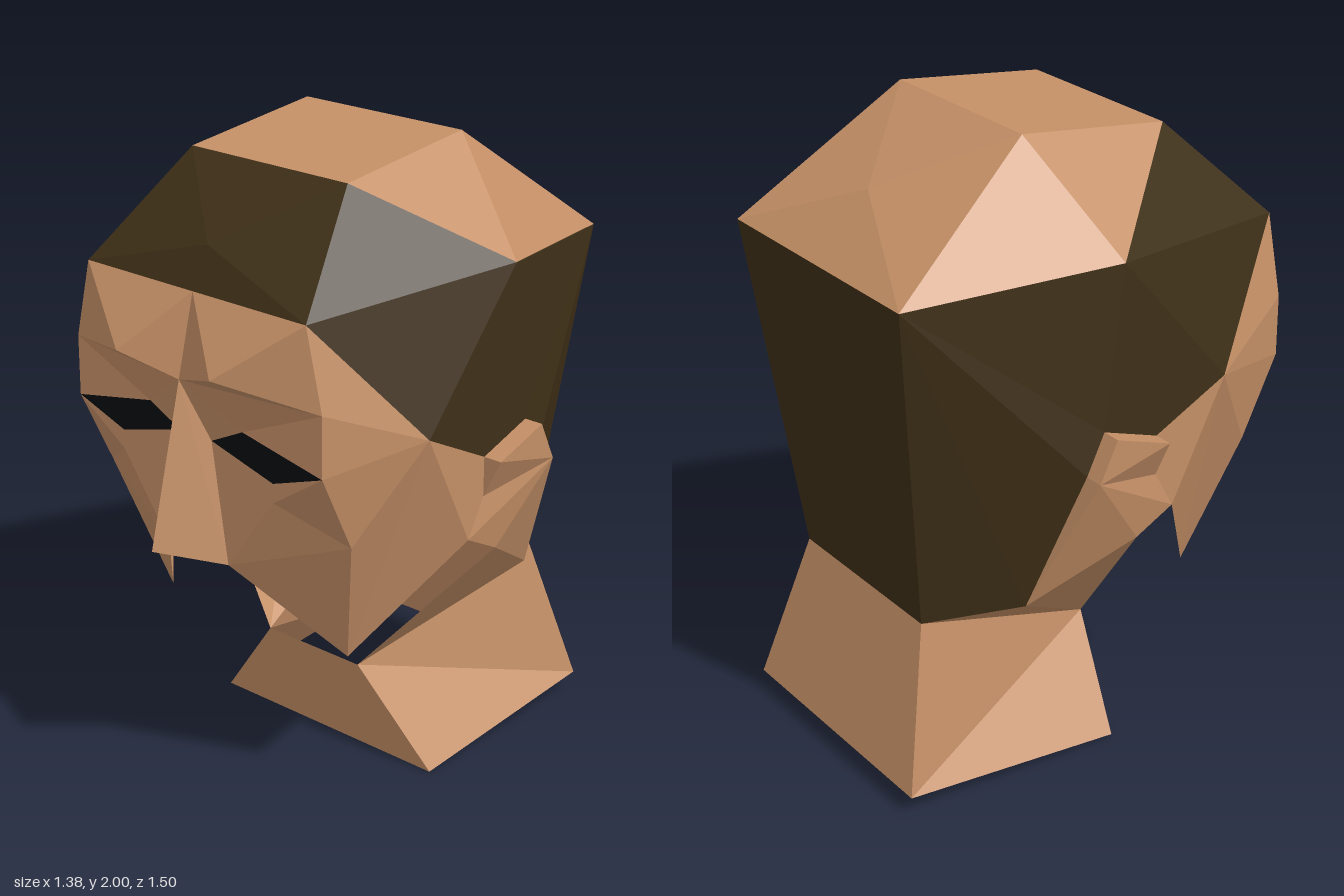
import * as THREE from 'three';

// Landmarks of the model's left half
const P = {
  // skull
  crownFront: [0.31, 1.94, 0.25], crownBack: [0.31, 2, -0.25], crownSide: [0.625, 1.69, -0.125],
  rear: [0.44, 1.63, -0.75], rearMid: [0, 1.815, -0.565],
  hairMid: [0, 1.755, 0.5], hairline: [0.44, 1.63, 0.5625],
  temple: [0.625, 1.25, 0.25], sideburn: [0.625, 1.125, 0],
  // face
  brow: [0.19, 1.44, 0.69], browOut: [0.5, 1.38, 0.5625], root: [0, 1.38, 0.625],
  eyeOut: [0.5, 1.19, 0.5625], eyeTop: [0.19, 1.25, 0.5625], eyeIn: [0.065, 1.19, 0.5625], eyeLow: [0.31, 1.125, 0.5625],
  noseTip: [0, 0.88, 0.75], nostril: [0.125, 0.8125, 0.5625],
  cheek: [0.31, 1.065, 0.5625], cheekOut: [0.5, 0.94, 0.44],
  jaw: [0.375, 0.505, 0.315], jawBack: [0.625, 0.88, 0.065], lobe: [0.625, 0.8125, -0.065],
  // ear
  earTopIn: [0.625, 1.19, -0.19], earBackIn: [0.625, 1.065, -0.25],
  earFront: [0.6875, 1.125, 0], earTop: [0.6875, 1.19, -0.19], earBack: [0.6875, 1.065, -0.25], earLow: [0.625, 1, 0],
  // neck
  mastoid: [0.5, 0.625, -0.375], nape: [0.32, 0.565, -0.625], throat: [0.19, 0.315, 0.0625],
  neckFront: [0.44, 0, 0], neckBack: [0.44, 0.065, -0.75],
};

// A name starting with 0 is that landmark moved onto the centre line
const at = (name) => {
  const centred = name[0] === '0';
  const p = new THREE.Vector3(...P[centred ? name.slice(1) : name]);
  if (centred) p.x = 0;
  return p;
};

const CENTRE = new THREE.Vector3(0, 1.1, -0.1);

// Mirrored, flat-shaded shell; every face is a fan of corners turned outward
function shell(name, color, faces) {
  const pos = [];
  for (const face of faces) {
    const c = face.split(' ').map(at);
    for (let i = 1; i < c.length - 1; i++) {
      let tri = [c[0], c[i], c[i + 1]];
      const n = new THREE.Vector3();
      new THREE.Triangle(...tri).getNormal(n);
      if (n.dot(tri[0].clone().sub(CENTRE)) < 0) tri = [tri[0], tri[2], tri[1]];
      tri.forEach((p) => pos.push(p.x, p.y, p.z));
      [tri[0], tri[2], tri[1]].forEach((p) => pos.push(-p.x, p.y, p.z));
    }
  }
  const geo = new THREE.BufferGeometry();
  geo.setAttribute('position', new THREE.Float32BufferAttribute(pos, 3));
  geo.computeVertexNormals();
  const mesh = new THREE.Mesh(geo, new THREE.MeshStandardMaterial({ color, flatShading: true, side: THREE.DoubleSide }));
  mesh.name = name;
  return mesh;
}

export function createModel() {
  const SKIN = 0xc48f66, HAIR = 0x3e2f17, EYE = 0x080b0e;
  const head = new THREE.Group();
  head.name = 'head';

  head.add(shell('crown', SKIN, [
    'crownFront crownBack 0crownBack 0crownFront',
    'crownFront crownSide crownBack',
    'crownBack crownSide rear',
    'crownBack rear rearMid', 'crownBack rearMid 0crownBack', 'rear 0rear rearMid',
  ]));

  head.add(shell('hair', HAIR, [
    // front
    'crownFront 0crownFront hairMid', 'crownFront hairMid hairline', 'hairline hairMid 0hairline',
    // sides, fanned from the crown's side corner
    'crownSide crownFront hairline temple sideburn earTopIn rear',
    'rear earTopIn earBackIn mastoid nape',
    // back
    'rear nape 0nape 0rear',
  ]));

  head.add(shell('face', SKIN, [
    // forehead and brow
    '0hairline hairline brow', '0hairline brow root', 'hairline browOut brow', 'brow browOut root',
    // eyelids
    'eyeTop root browOut', 'eyeTop browOut eyeOut', 'eyeTop eyeIn root',
    // cheeks
    'eyeOut eyeLow cheek', 'eyeLow eyeIn cheek', 'eyeIn nostril cheek', 'root eyeIn nostril',
    'cheek nostril cheekOut', 'eyeOut cheek cheekOut', 'cheekOut nostril jaw',
    // temples and jaw
    'temple hairline browOut', 'temple browOut eyeOut', 'temple eyeOut cheekOut',
    'temple cheekOut jaw', 'temple jaw jawBack', 'temple jawBack earLow sideburn',
  ]));

  head.add(shell('nose', SKIN, ['root noseTip nostril']));
  head.add(shell('eyes', EYE, ['eyeTop eyeIn eyeLow eyeOut']));

  head.add(shell('ears', SKIN, [
    'earFront earTop earBack', 'sideburn earFront earTop earTopIn', 'earTopIn earTop earBack earBackIn',
    'sideburn earFront earLow', 'earFront earBack earLow',
    // below and behind the ear
    'earBack earLow jawBack', 'earBack jawBack lobe', 'earBack lobe mastoid', 'earBack mastoid earBackIn',
  ]));

  // open at the bottom and under the jaw
  head.add(shell('neck', SKIN, [
    'lobe mastoid throat', 'mastoid nape throat',
    'nape neckBack throat', 'throat neckBack neckFront',
    'throat neckFront 0neckFront 0throat', 'nape neckBack 0neckBack 0nape',
  ]));

  return head;
}
